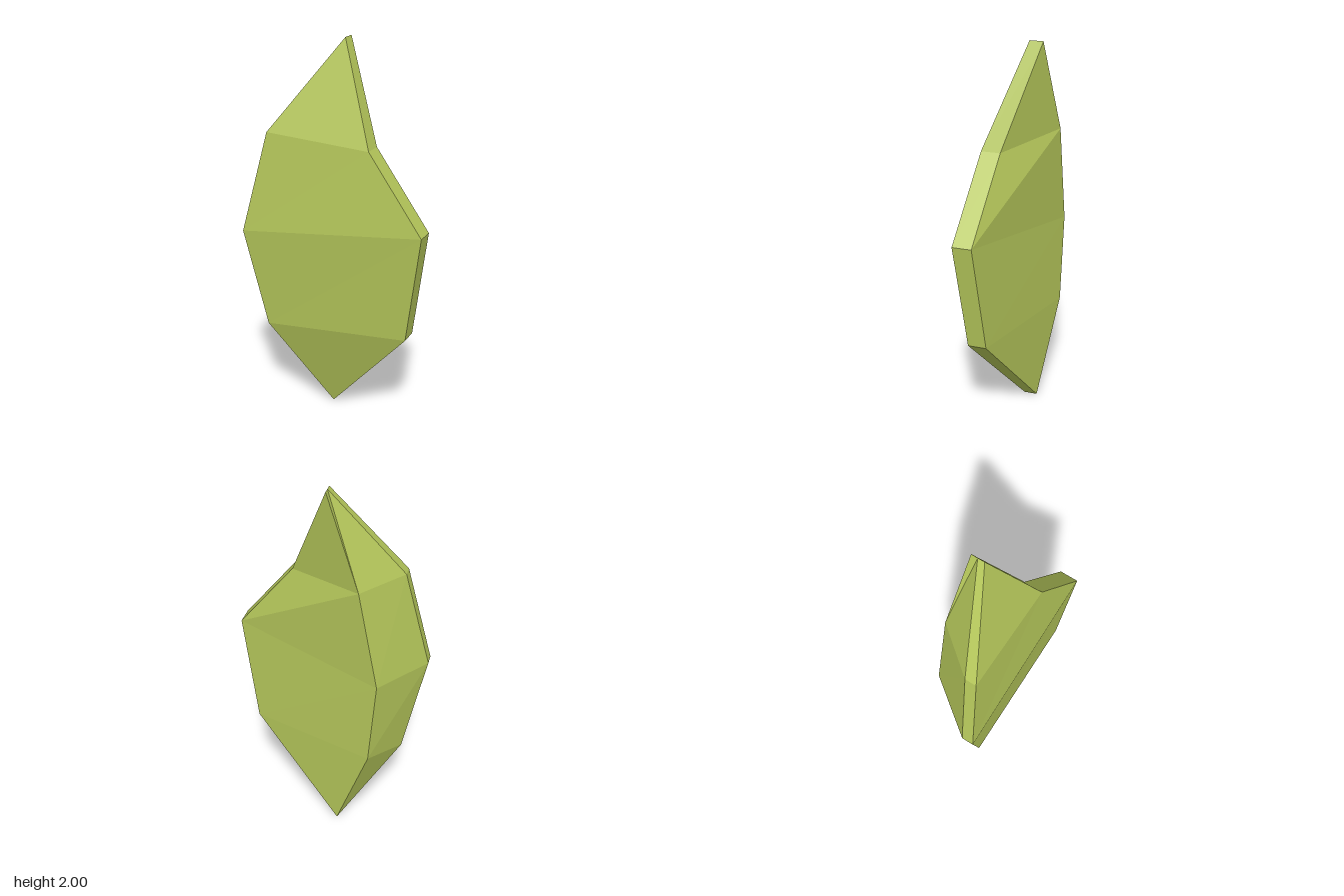
import * as THREE from 'three';

// Faceted crystal shard: a loft through five-cornered cross-sections
export function createModel() {
  const group = new THREE.Group();

  // Corners per section: front -x, front +x, rim +x, back ridge, rim -x
  const top = [-0.015, 2, -0.055], topMid = [-0.015, 2, -0.09], topBack = [-0.015, 2, -0.123];
  const low = [-0.068, 0, -0.02], lowMid = [-0.068, 0, -0.055], lowBack = [-0.068, 0, -0.09];
  const sections = [
    [top, top, topBack, topBack, topMid],
    [[-0.367, 1.53, 0.12], [0.193, 1.5, 0.122], [0.193, 1.5, 0.025], [-0.185, 1.525, -0.168], [-0.367, 1.53, 0.06]],
    [[-0.495, 1, 0.17], [0.492, 1.12, 0.168], [0.492, 1.12, 0.07], [-0.286, 1, -0.172], [-0.495, 1, 0.108]],
    [[-0.385, 0.47, 0.125], [0.407, 0.545, 0.13], [0.407, 0.545, 0.035], [-0.25, 0.53, -0.165], [-0.385, 0.47, 0.065]],
    [low, low, lowBack, lowBack, lowMid],
  ];

  // Skin neighbouring sections, skipping triangles that collapse at the tips
  const positions = [];
  const tri = (a, b, c) => {
    if (a !== b && b !== c && a !== c) positions.push(...a, ...b, ...c);
  };
  for (let i = 0; i < sections.length - 1; i++) {
    for (let j = 0; j < 5; j++) {
      const k = (j + 1) % 5;
      const a = sections[i][j], b = sections[i][k];
      const c = sections[i + 1][j], d = sections[i + 1][k];
      tri(a, c, b);
      tri(b, c, d);
    }
  }
  // Tiny end facets at the two tips collapse to edges, so no caps are needed
  const geometry = new THREE.BufferGeometry();
  geometry.setAttribute('position', new THREE.Float32BufferAttribute(positions, 3));
  geometry.computeVertexNormals();

  const shard = new THREE.Mesh(
    geometry,
    new THREE.MeshStandardMaterial({ color: 0xb4c65a, flatShading: true })
  );
  shard.name = 'crystalShard';
  group.add(shard);
  return group;
}
